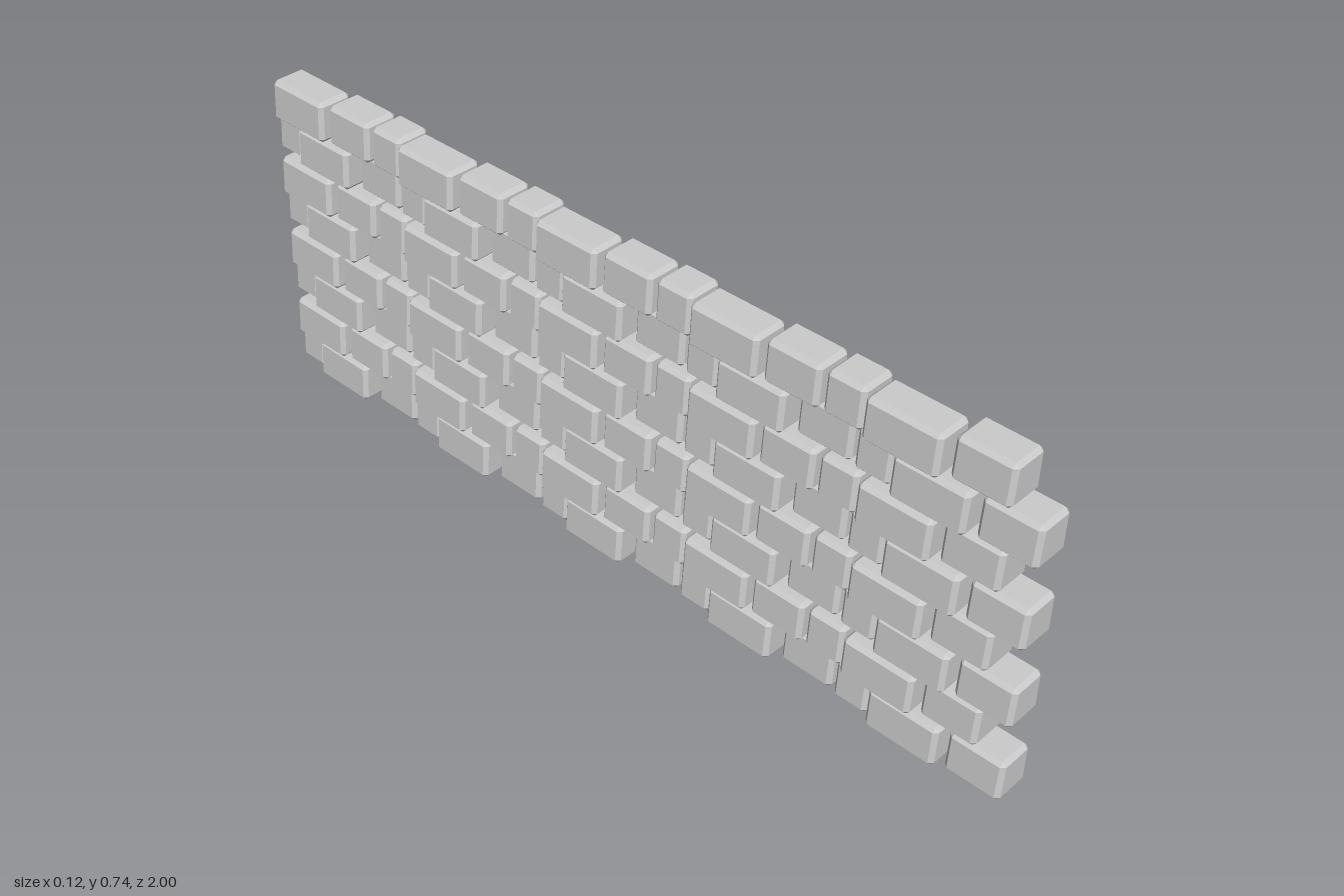
import * as THREE from 'three';
import { ConvexGeometry } from 'three/addons/geometries/ConvexGeometry.js';

const material = new THREE.MeshStandardMaterial({ color: 0xcccccc, flatShading: true });
const PERIOD = 0.403, PITCH = 0.0932;

// Block with chamfered edges; its back face leans in slightly towards the top
function blockGeometry(width, height, length, chamfer = 0.009) {
  const points = [];
  const half = [width / 2, height / 2, length / 2];
  for (const sx of [-1, 1]) for (const sy of [-1, 1]) for (const sz of [-1, 1]) {
    // each corner is cut into three points, one on each adjoining face
    for (let face = 0; face < 3; face++) {
      const p = [sx, sy, sz].map((s, axis) => s * (half[axis] - (axis === face ? 0 : chamfer)));
      if (sx < 0 && sy > 0) p[0] += 0.005;
      points.push(new THREE.Vector3(...p));
    }
  }
  return new ConvexGeometry(points);
}

// Repeating sequence: distance from the start of the period, length, shift in x
const evenPattern = [
  { name: 'mediumBlock', at: 0, length: 0.125, x: -0.007 },
  { name: 'longBlock', at: 0.135, length: 0.163, x: -0.018 },
  { name: 'shortBlock', at: 0.307, length: 0.087, x: -0.003 },
];
const oddPattern = [
  { name: 'mediumBlock', at: 0, length: 0.124, x: 0.015 },
  { name: 'longBlock', at: 0.138, length: 0.161, x: -0.012 },
  { name: 'shortBlock', at: 0.311, length: 0.08, x: 0.009 },
];

export function createModel() {
  const wall = new THREE.Group();
  wall.name = 'stoneWall';
  const courses = [
    { pattern: oddPattern, start: 1, count: 15 },
    { pattern: evenPattern, start: 0.935, count: 14 },
  ].map((course) => ({
    ...course,
    geometries: course.pattern.map((b) => blockGeometry(0.088, 0.0925, b.length)),
  }));

  // Eight courses, alternating the two bonds
  for (let row = 0; row < 8; row++) {
    const { pattern, start, count, geometries } = courses[row % 2];
    const course = new THREE.Group();
    course.name = 'course' + (row + 1);
    for (let i = 0; i < count; i++) {
      const kind = i % 3, block = pattern[kind];
      const mesh = new THREE.Mesh(geometries[kind], material);
      mesh.name = block.name;
      // the first block of each course sits almost centred
      const x = i === 0 ? 0.004 : block.x;
      const z = start - Math.floor(i / 3) * PERIOD - block.at - block.length / 2;
      mesh.position.set(x, PITCH * (row + 0.5), z);
      course.add(mesh);
    }
    wall.add(course);
  }
  return wall;
}
